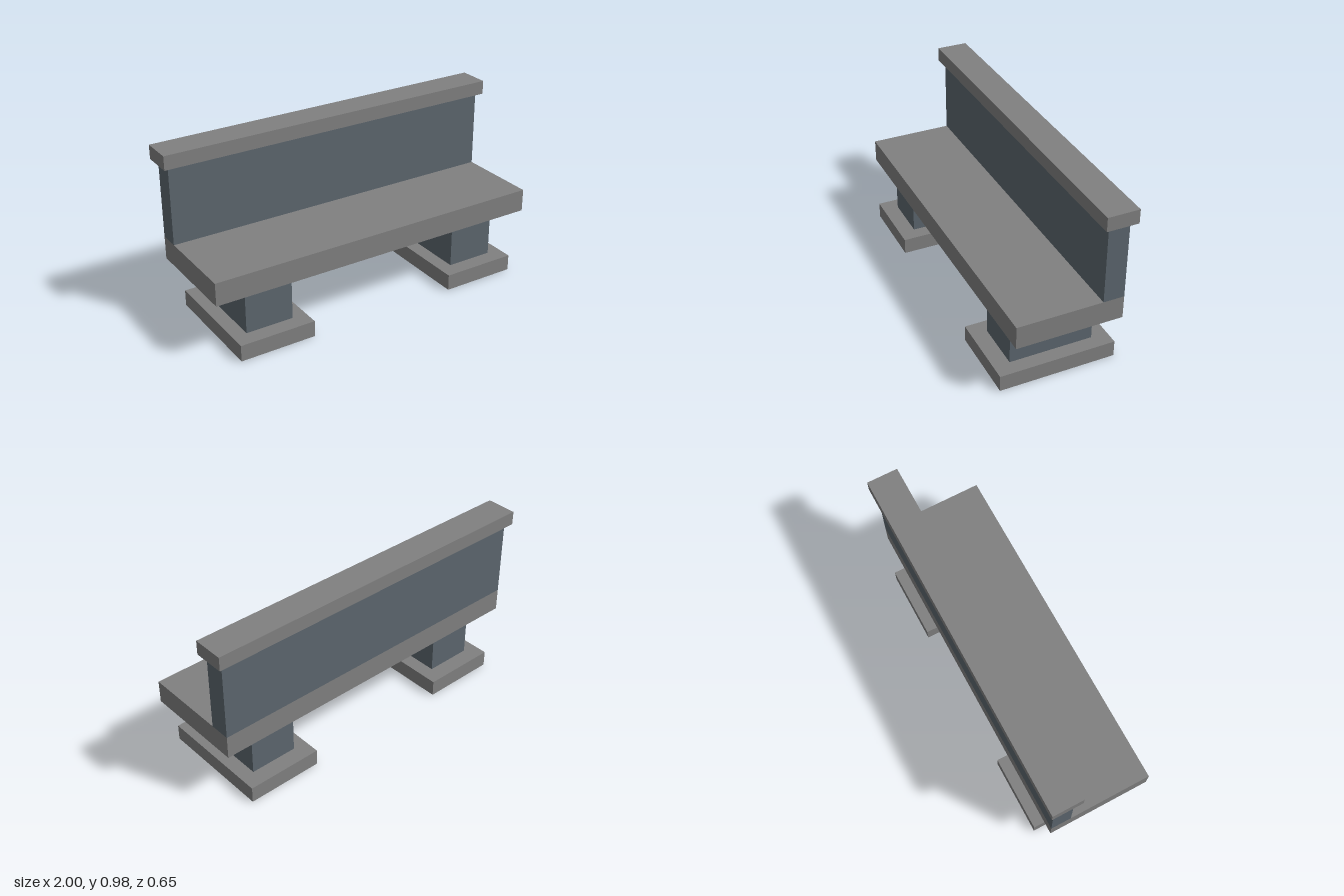
import * as THREE from 'three';

const paleStone = new THREE.MeshStandardMaterial({ name: 'paleStone', color: 0x808080 });
const slateStone = new THREE.MeshStandardMaterial({ name: 'slateStone', color: 0x5c666e });

// Box given by its lower and upper limits on each axis
function block(name, material, [x0, x1], [y0, y1], [z0, z1]) {
  const mesh = new THREE.Mesh(new THREE.BoxGeometry(x1 - x0, y1 - y0, z1 - z0), material);
  mesh.name = name;
  mesh.position.set((x0 + x1) / 2, (y0 + y1) / 2, (z0 + z1) / 2);
  return mesh;
}

export function createModel() {
  const bench = new THREE.Group();
  bench.name = 'bench';

  // Seat slab, backrest panel and the overhanging cap rail
  bench.add(
    block('seat', paleStone, [-0.97, 0.97], [0.34, 0.468], [-0.29, 0.292]),
    block('backrest', slateStone, [-0.97, 0.97], [0.468, 0.904], [-0.29, -0.175]),
    block('capRail', paleStone, [-1, 1], [0.904, 0.982], [-0.32, -0.146]),
  );

  // Two pedestals; each leg runs through its foot and shows underneath
  for (const [side, x] of [['left', 0.65], ['right', -0.65]]) {
    const pedestal = new THREE.Group();
    pedestal.name = side + 'Pedestal';
    pedestal.position.x = x;
    pedestal.add(
      block('leg', slateStone, [-0.135, 0.135], [0, 0.34], [-0.232, 0.234]),
      block('foot', paleStone, [-0.215, 0.215], [0.001, 0.092], [-0.324, 0.324]),
    );
    bench.add(pedestal);
  }
  return bench;
}
